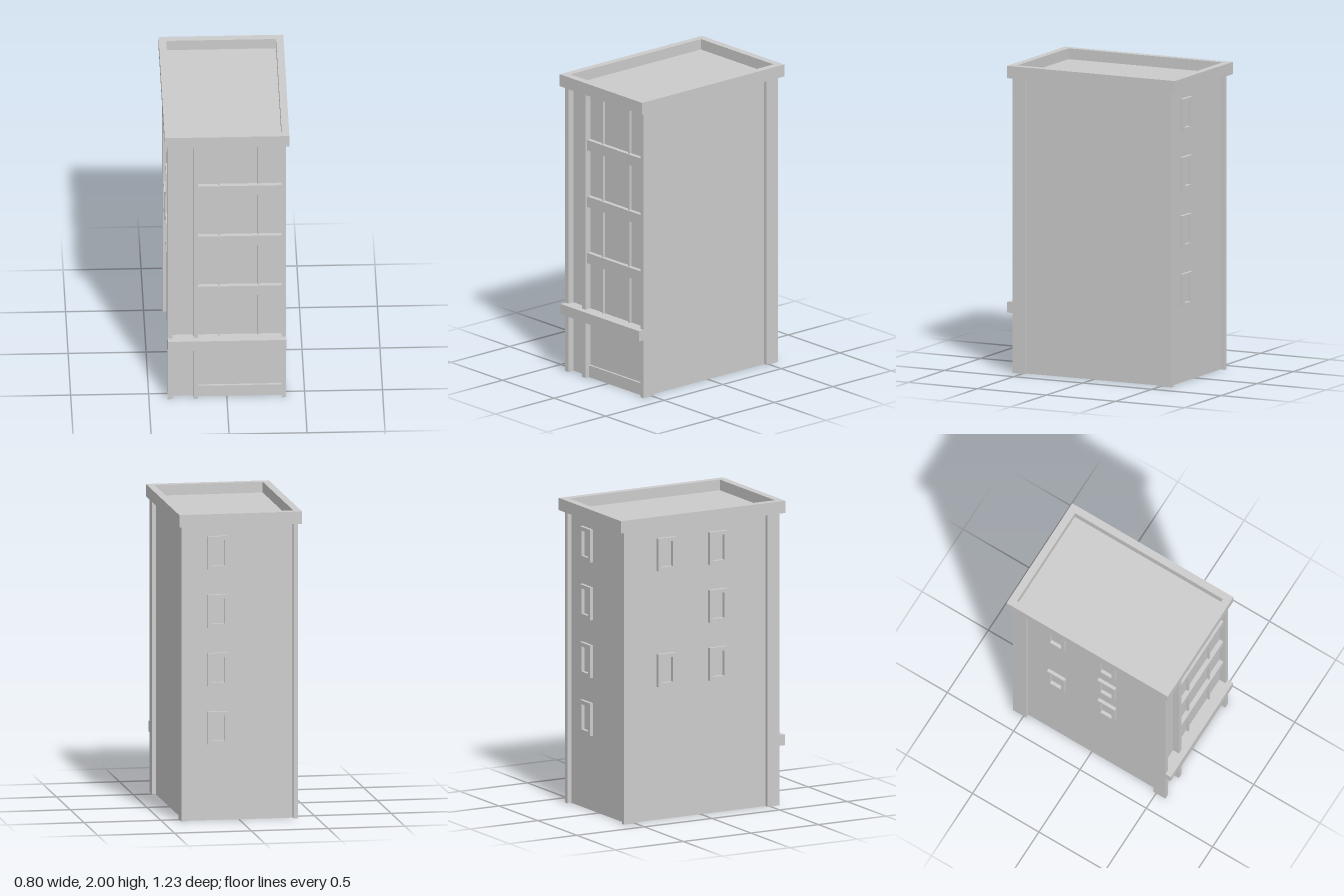
import * as THREE from 'three';

const material = new THREE.MeshStandardMaterial({ color: 0xcccccc, flatShading: true });
const thin = new THREE.MeshStandardMaterial({ color: 0xcccccc, flatShading: true, side: THREE.DoubleSide });

// Box given by its limits on each axis
function block(parent, name, [x0, x1], [y0, y1], [z0, z1]) {
  const mesh = new THREE.Mesh(new THREE.BoxGeometry(x1 - x0, y1 - y0, z1 - z0), material);
  mesh.position.set((x0 + x1) / 2, (y0 + y1) / 2, (z0 + z1) / 2);
  mesh.name = name;
  parent.add(mesh);
}

// Thin wall, w wide and h high, turned about y
function wall(parent, name, w, h, x, z, turn) {
  const mesh = new THREE.Mesh(new THREE.PlaneGeometry(w, h), thin);
  mesh.position.set(x, h / 2, z);
  mesh.rotation.y = turn;
  mesh.name = name;
  parent.add(mesh);
}

// Rectangular ring, extruded along its local z
function ring(w, h, iw, ih, depth) {
  const rect = (path, a, b) => path.moveTo(-a, -b).lineTo(a, -b).lineTo(a, b).lineTo(-a, b).closePath();
  const shape = rect(new THREE.Shape(), w / 2, h / 2);
  shape.holes.push(rect(new THREE.Path(), iw / 2, ih / 2));
  return new THREE.ExtrudeGeometry(shape, { depth, bevelEnabled: false });
}

export function createModel() {
  const building = new THREE.Group();
  building.name = 'building';
  const top = 1.93, eaves = 1.92;
  const front = 0.525, back = -0.55, side = 0.355;

  // Hollow shell, open underneath
  const depth = front - back, midZ = (front + back) / 2;
  wall(building, 'frontWall', side * 2, top, 0, front, 0);
  wall(building, 'backWall', side * 2, top, 0, back, Math.PI);
  wall(building, 'leftWall', depth, top, side, midZ, Math.PI / 2);
  wall(building, 'rightWall', depth, top, -side, midZ, -Math.PI / 2);

  // Corner pillars
  for (const x of [[-0.38, -0.35], [0.35, 0.38]])
    for (const z of [[0.48, 0.57], [-0.58, -0.48]])
      block(building, 'cornerPillar', x, [0, eaves], z);

  // Facade pillar, mullions, spandrels and sill
  block(building, 'facadePillar', [-0.215, -0.185], [0, eaves], [0.48, 0.57]);
  for (const x of [-0.05, 0.205])
    block(building, 'mullion', [x - 0.006, x + 0.006], [0.46, eaves], [0.51, 0.542]);
  for (const y of [0.77, 1.15, 1.53])
    block(building, 'spandrel', [-0.185, 0.35], [y, y + 0.07], [0.5, 0.555]);
  block(building, 'groundSill', [-0.185, 0.35], [0, 0.08], [0.5, 0.54]);
  block(building, 'ledge', [-0.38, 0.38], [0.39, 0.46], [0.48, 0.61]);

  // Parapet ring around the flat roof
  const parapet = new THREE.Mesh(ring(0.8, 1.215, 0.704, 1.115, 2 - eaves), material);
  parapet.rotation.x = -Math.PI / 2;
  parapet.position.set(0, eaves, -0.0075);
  parapet.name = 'parapet';
  building.add(parapet);
  block(building, 'roof', [-0.36, 0.36], [eaves, top], [-0.57, 0.56]);

  // Raised window frames on the back and the right side
  const frameGeometry = ring(0.13, 0.215, 0.084, 0.165, 0.022);
  const addWindow = (x, y, z, turn) => {
    const frame = new THREE.Mesh(frameGeometry, material);
    frame.position.set(x, y, z);
    frame.rotation.y = turn;
    frame.name = 'windowFrame';
    building.add(frame);
  };
  for (const y of [0.6, 0.98, 1.36, 1.74]) addWindow(0.14, y, back, Math.PI);
  for (const y of [0.98, 1.74]) addWindow(-side, y, -0.26, -Math.PI / 2);
  for (const y of [0.98, 1.36, 1.74]) addWindow(-side, y, 0.12, -Math.PI / 2);

  return building;
}
